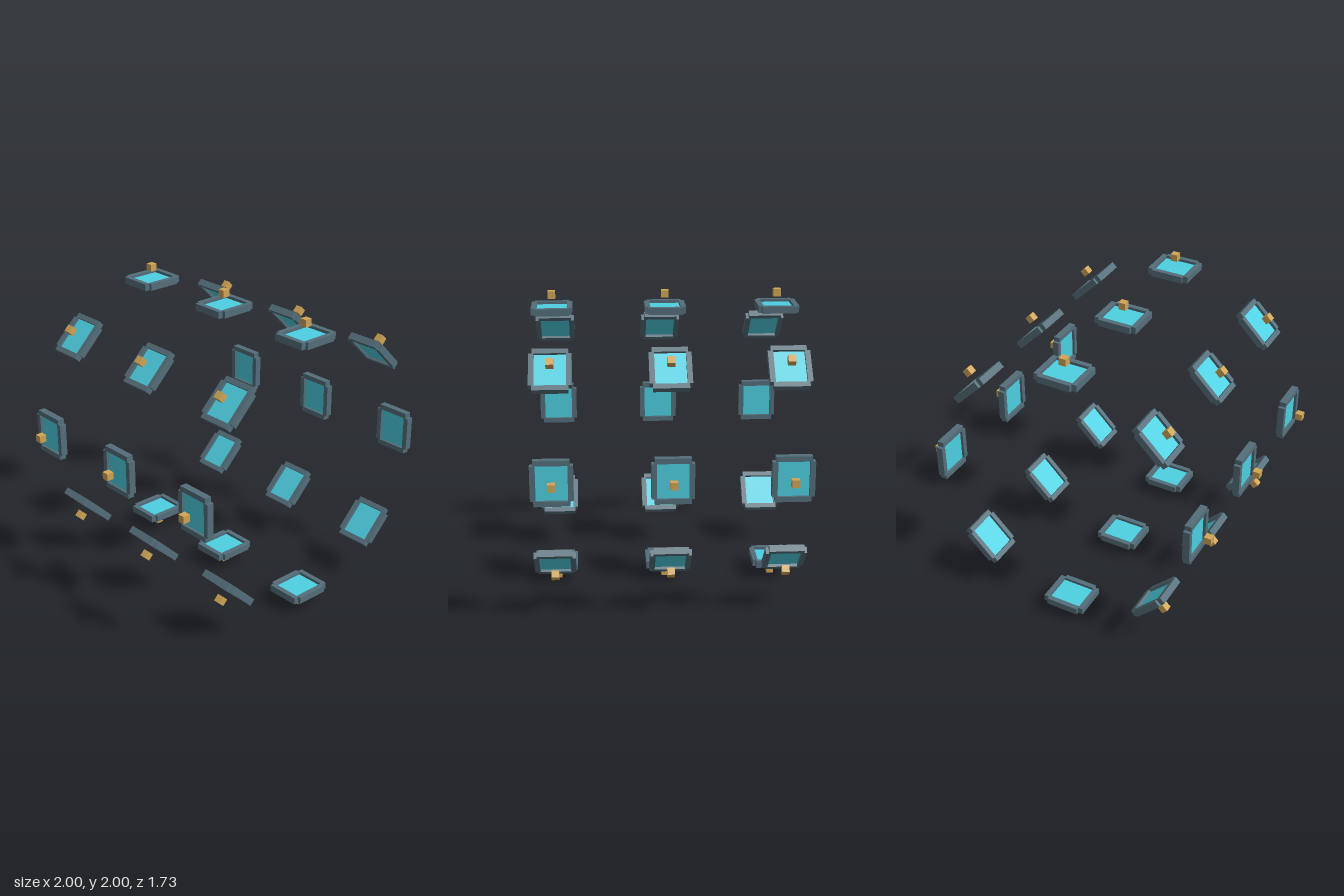
import * as THREE from 'three';

function material(name, color) {
  const m = new THREE.MeshStandardMaterial({ color });
  m.name = name;
  return m;
}

export function createModel() {
  const frameMat = material('slate frame', 0x546e7a);
  const glassMat = material('cyan glass', 0x4dd0e1);
  const lampMat = material('gold lamp', 0xd0a557);

  // Shared geometry; local x is tangential, y points outwards, z runs along the axis
  const endBar = new THREE.BoxGeometry(0.034, 0.046, 0.224);
  const sideBar = new THREE.BoxGeometry(0.224, 0.046, 0.034);
  const pane = new THREE.BoxGeometry(0.224, 0.009, 0.2);
  const cube = new THREE.BoxGeometry(0.048, 0.048, 0.048);

  function add(parent, name, geometry, mat, x, y, z) {
    const mesh = new THREE.Mesh(geometry, mat);
    mesh.name = name;
    mesh.position.set(x, y, z);
    parent.add(mesh);
  }

  // One window: four bars with notched corners, a recessed pane and an outer lamp
  function createWindow() {
    const unit = new THREE.Group();
    unit.name = 'window';
    for (const s of [-1, 1]) {
      add(unit, 'endBar', endBar, frameMat, s * 0.129, 0.886, 0);
      add(unit, 'sideBar', sideBar, frameMat, 0, 0.886, s * 0.115);
    }
    add(unit, 'glassPane', pane, glassMat, 0, 0.886, 0);
    add(unit, 'lamp', cube, lampMat, 0, 0.976, 0);
    return unit;
  }

  // Three rings of eight windows
  const model = new THREE.Group();
  model.name = 'windowRings';
  for (const z of [-0.733, 0, 0.733]) {
    const ring = new THREE.Group();
    ring.name = 'ring';
    ring.position.set(0, 1, z);
    for (let i = 0; i < 8; i++) {
      const unit = createWindow();
      unit.rotation.z = (i * Math.PI) / 4;
      ring.add(unit);
    }
    model.add(ring);
  }
  return model;
}
